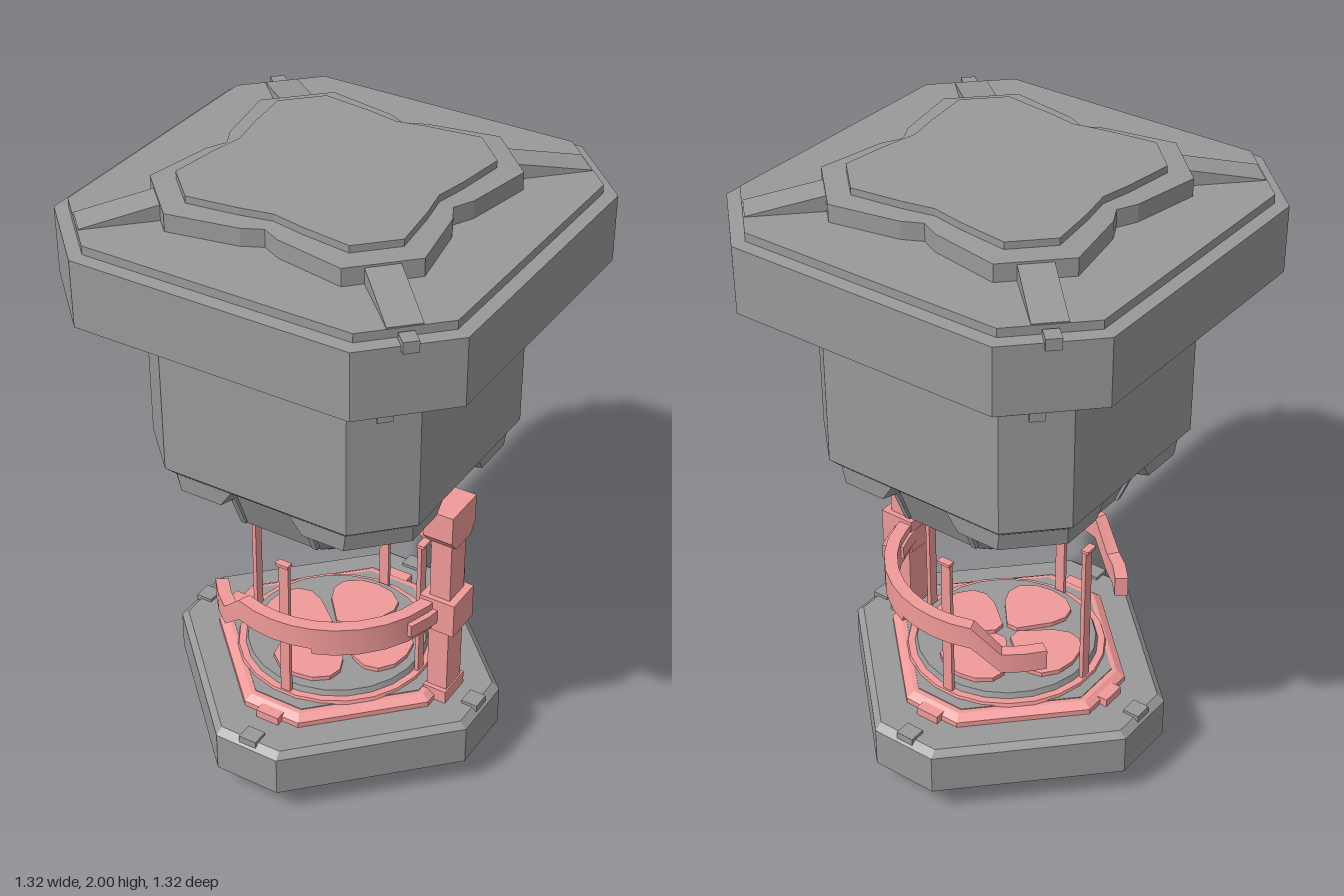
import * as THREE from 'three';
import { toCreasedNormals } from 'three/addons/utils/BufferGeometryUtils.js';

const grey = new THREE.MeshStandardMaterial({ color: 0x999999 });
const pink = new THREE.MeshStandardMaterial({ color: 0xf09a98 });
const V = (x, y, z) => new THREE.Vector3(x, y, z);
const rad = THREE.MathUtils.degToRad;

// Skin a list of equal-length loops and close both ends with fans
function skin(rings) {
  const pos = [];
  const tri = (...ps) => ps.forEach(p => pos.push(p.x, p.y, p.z));
  const n = rings[0].length;
  const centre = r => r.reduce((s, p) => s.add(p), V(0, 0, 0)).divideScalar(n);
  for (let i = 0; i < rings.length - 1; i++) {
    for (let j = 0; j < n; j++) {
      const k = (j + 1) % n, a = rings[i], b = rings[i + 1];
      tri(a[j], a[k], b[k]);
      tri(a[j], b[k], b[j]);
    }
  }
  const first = rings[0], last = rings[rings.length - 1];
  const c0 = centre(first), c1 = centre(last);
  for (let j = 0; j < n; j++) {
    const k = (j + 1) % n;
    tri(c0, first[k], first[j]);
    tri(c1, last[j], last[k]);
  }
  const g = new THREE.BufferGeometry();
  g.setAttribute('position', new THREE.Float32BufferAttribute(pos, 3));
  g.computeVertexNormals();
  return g;
}

// Repeat one side's outline [along, distance] on all four sides at height y
function around(y, side) {
  const out = [];
  for (let k = 0; k < 4; k++) {
    for (const [t, d] of side) {
      let x = t, z = d;
      for (let i = 0; i < k; i++) [x, z] = [z, -x];
      out.push(V(x, y, z));
    }
  }
  return out;
}
// Square with cut corners, and the same with a notch in each side
const oct = ([y, h, c]) => around(y, [[-c, h], [c, h]]);
const notched = ([y, h, c, w, depth]) => around(y,
  [[-c, h], [-w, h], [-w * 0.85, h - depth], [w * 0.85, h - depth], [w, h], [c, h]]);
const octLoft = rows => skin(rows.map(oct));
const notchLoft = rows => skin(rows.map(notched));

// Curved bar about the y axis; heights(angle) gives [low, high]
function arc(angles, rIn, rOut, heights) {
  const rings = angles.map(a => {
    const c = Math.cos(rad(a)), s = Math.sin(rad(a)), [lo, hi] = heights(Math.abs(a));
    return [[rIn, lo], [rOut, lo], [rOut, hi], [rIn, hi]].map(([r, y]) => V(r * c, y, r * s));
  });
  return toCreasedNormals(skin(rings), rad(25));
}

function add(parent, name, geometry, material = grey) {
  const m = new THREE.Mesh(geometry, material);
  m.name = name;
  parent.add(m);
  return m;
}
function box(parent, name, size, at, material) {
  const m = add(parent, name, new THREE.BoxGeometry(...size), material);
  m.position.set(...at);
  return m;
}
function prism(points, depth) {
  const shape = new THREE.Shape(points.map(p => new THREE.Vector2(...p)));
  return new THREE.ExtrudeGeometry(shape, { depth, bevelEnabled: false }).translate(0, 0, -depth / 2);
}
// Group turned so that its +x points along the given angle
function turned(parent, name, degrees) {
  const g = new THREE.Group();
  g.name = name;
  g.rotation.y = rad(degrees);
  parent.add(g);
  return g;
}
function disc(parent, name, rTop, rBottom, y0, y1, sides, material) {
  const m = add(parent, name, new THREE.CylinderGeometry(rTop, rBottom, y1 - y0, sides), material);
  m.position.y = (y0 + y1) / 2;
  m.rotation.y = Math.PI / sides;
}

// Four fan-shaped pads, the first pointing along the given angle
function petals(parent, name, y, h, angle) {
  const fan = [[0.03, -0.02], [0.12, -0.095], [0.17, -0.115], [0.215, -0.105], [0.25, -0.06], [0.26, 0],
    [0.25, 0.06], [0.215, 0.105], [0.17, 0.115], [0.12, 0.095], [0.03, 0.02]];
  for (let k = 0; k < 4; k++) {
    const m = add(turned(parent, name, angle + 90 * k), name, prism(fan, h), pink);
    m.rotation.x = -Math.PI / 2;
    m.position.y = y + h / 2;
  }
}

function buildHead(root) {
  const head = turned(root, 'head', 0);
  add(head, 'headSlab', octLoft([[1.64, 0.60, 0.405], [1.665, 0.61, 0.41], [1.672, 0.645, 0.43],
    [1.68, 0.66, 0.44], [1.89, 0.66, 0.44], [1.893, 0.62, 0.425], [1.92, 0.62, 0.425]]));
  add(head, 'headUnderside', notchLoft([[1.565, 0.5, 0.34, 0.26, 0.08], [1.635, 0.6, 0.405, 0.21, 0.04],
    [1.65, 0.6, 0.405, 0.2, 0.02]]));
  // Stepped cap with a pinch in the middle of each side
  const outer = [[-0.28, 0.44], [-0.06, 0.40], [0, 0.37], [0.06, 0.40], [0.28, 0.44]];
  const inner = [[-0.26, 0.365], [-0.1, 0.345], [0, 0.325], [0.1, 0.345], [0.26, 0.365]];
  add(head, 'headCap', skin([around(1.91, outer), around(1.975, outer), around(1.978, inner), around(2, inner)]));
  for (let k = 0; k < 4; k++) {
    add(turned(head, 'capRamp', 45 + 90 * k), 'capRamp',
      prism([[0.49, 1.915], [0.735, 1.915], [0.735, 1.922], [0.51, 1.968], [0.49, 1.968]], 0.1));
  }
  for (const a of [-45, 135]) {
    box(turned(head, 'headClip', a), 'headClip', [0.05, 0.035, 0.045], [0.77, 1.893, 0]);
  }
}

function buildBody(root) {
  const body = turned(root, 'body', 0);
  add(body, 'bodyNeck', octLoft([[1.52, 0.43, 0.29], [1.58, 0.43, 0.29]]));
  add(body, 'bodyBlock', octLoft([[1.10, 0.43, 0.29], [1.13, 0.46, 0.31], [1.53, 0.46, 0.31], [1.54, 0.44, 0.30]]));
  add(body, 'bodySkirt', notchLoft([[1.04, 0.425, 0.28, 0.14, 0.055], [1.10, 0.43, 0.29, 0.1, 0.03]]));
  add(body, 'bodyTaper', octLoft([[0.875, 0.26, 0.13], [0.89, 0.27, 0.13], [0.895, 0.29, 0.13],
    [0.915, 0.32, 0.125], [1.05, 0.375, 0.145]]));
  // Raised ribs down the taper
  for (let k = 0; k < 4; k++) {
    const g = turned(body, 'taperRib', 90 * k);
    for (const s of [-1, 1]) {
      const rib = box(g, 'taperRib', [0.02, 0.13, 0.018], [0.348, 0.985, s * 0.125]);
      rib.rotation.z = -0.4;
    }
  }
  for (const a of [-45, 135]) {
    box(turned(body, 'bodyClip', a), 'bodyClip', [0.025, 0.05, 0.045], [0.543, 1.53, 0]);
  }
  petals(body, 'upperPad', 0.86, 0.02, 0);
}

function buildBase(root) {
  const base = turned(root, 'base', 45);
  add(base, 'baseSlab', octLoft([[0.085, 0.43, 0.28], [0.09, 0.455, 0.30], [0.095, 0.46, 0.304],
    [0.23, 0.46, 0.304], [0.25, 0.44, 0.29]]));
  add(base, 'baseUnderside', notchLoft([[0.03, 0.32, 0.2, 0.14, 0.05], [0.065, 0.41, 0.27, 0.15, 0.04],
    [0.088, 0.42, 0.275, 0.15, 0.01]]));
  disc(base, 'baseFoot', 0.29, 0.25, 0.01, 0.035, 16);
  add(base, 'baseTray', octLoft([[0.24, 0.35, 0.21], [0.268, 0.35, 0.21], [0.285, 0.325, 0.2]]), pink);
  add(base, 'trayFloor', octLoft([[0.28, 0.31, 0.19], [0.288, 0.31, 0.19]]));
  disc(base, 'trayRim', 0.32, 0.325, 0.28, 0.297, 24, pink);
  disc(base, 'trayDisc', 0.29, 0.30, 0.29, 0.315, 24);
  for (let k = 0; k < 4; k++) {
    const g = turned(base, 'baseClip', 45 + 90 * k);
    box(g, 'baseClip', [0.055, 0.035, 0.06], [0.505, 0.243, 0]);
    box(g, 'trayTab', [0.06, 0.03, 0.08], [0.39, 0.262, 0], pink);
  }
  petals(root, 'lowerPad', 0.31, 0.02, 0);
  petals(root, 'footPad', 0, 0.015, 45);
}

function buildFrame(root) {
  const frame = turned(root, 'frame', 0);
  // Upright post with head and collar
  box(frame, 'post', [0.07, 0.66, 0.09], [0.395, 0.59, 0], pink);
  box(frame, 'postFoot', [0.08, 0.05, 0.12], [0.395, 0.27, 0], pink);
  const headShape = [[-0.045, 0.86], [0.045, 0.86], [0.073, 0.895], [0.073, 0.99], [-0.073, 0.99], [-0.073, 0.895]];
  const head = add(frame, 'postHead', prism(headShape, 0.1), pink);
  head.rotation.y = Math.PI / 2;
  head.position.x = 0.395;
  box(frame, 'postCollar', [0.12, 0.12, 0.125], [0.395, 0.593, 0], pink);
  add(frame, 'collarBar', arc([-25, -15, -5, 5, 15, 25], 0.335, 0.405, () => [0.57, 0.615]), pink);
  // Open ring whose ends step down
  const half = [0, 12, 24, 36, 48, 60, 70, 70.5, 80, 90, 100, 110, 124, 134, 145];
  const angles = [...half.slice(1).reverse().map(a => -a), ...half];
  add(frame, 'ring', arc(angles, 0.345, 0.387,
    a => [a <= 70 ? 0.543 : a <= 110 ? 0.563 : 0.48, a <= 110 ? 0.64 : 0.55]), pink);
  // Slim rods with small caps
  for (let k = 0; k < 4; k++) {
    const g = turned(frame, 'rod', 90 * k);
    box(g, 'rod', [0.014, 0.51, 0.034], [0.305, 0.54, 0], pink);
    box(g, 'rodCap', [0.025, 0.01, 0.045], [0.31, 0.798, 0], pink);
  }
}

export function createModel() {
  const root = new THREE.Group();
  root.name = 'lantern';
  buildHead(root);
  buildBody(root);
  buildBase(root);
  buildFrame(root);
  return root;
}
